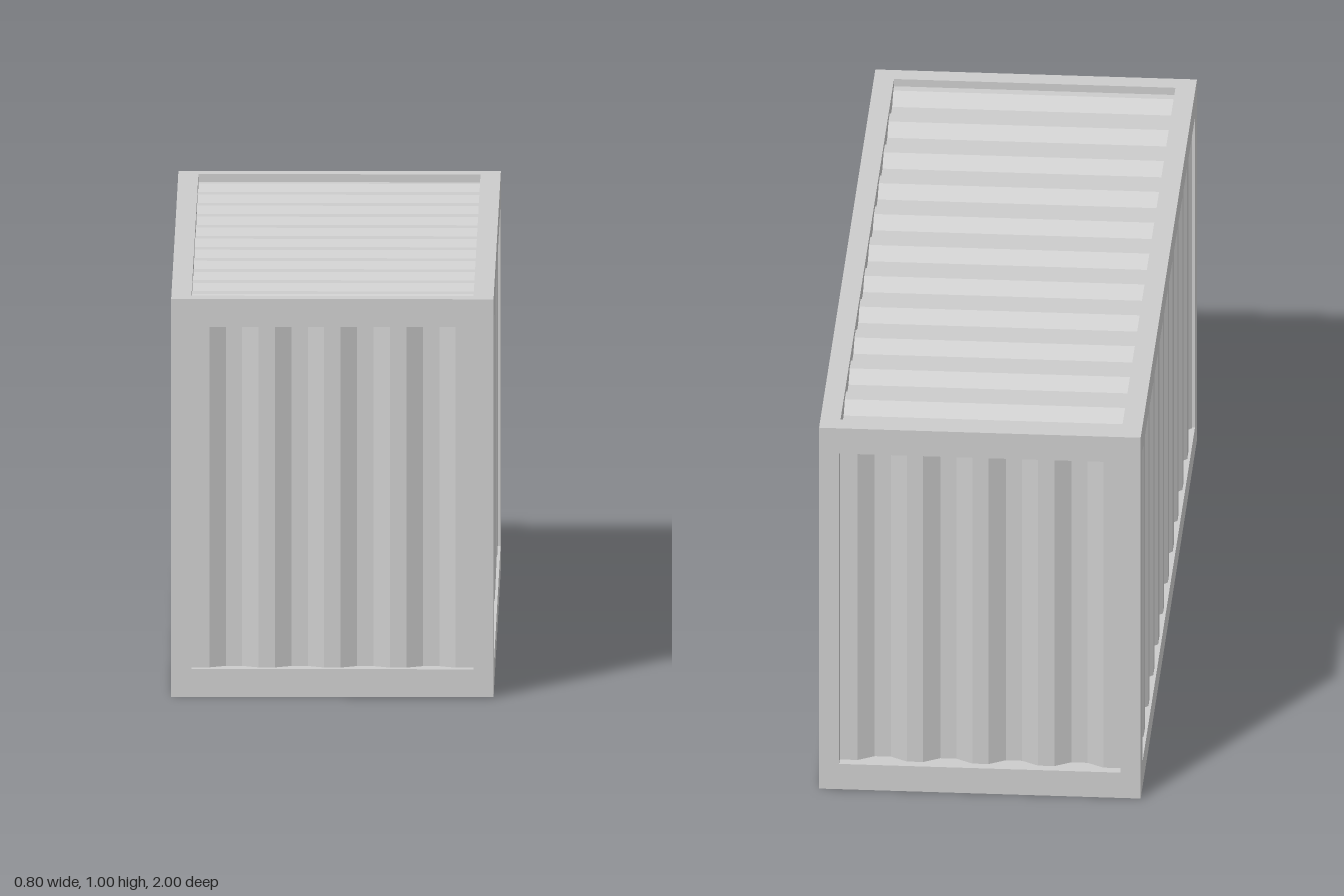
import * as THREE from 'three';

const W = 0.8, H = 1, L = 2;      // overall size
const POST_X = 0.05, POST_Z = 0.07, RAIL_H = 0.07, RAIL_T = 0.05;
const material = new THREE.MeshStandardMaterial({ color: 0xcccccc });

function add(parent, name, geometry, x = 0, y = 0, z = 0) {
  const mesh = new THREE.Mesh(geometry, material);
  mesh.name = name;
  mesh.position.set(x, y, z);
  parent.add(mesh);
  return mesh;
}

// Corrugated slab: grooves run along z and repeat along x, outer face at y = 0.
function corrugated(halfWidth, grooves, pitch, depth, length) {
  const start = -(grooves - 0.25) * pitch / 2;
  const back = -depth - 0.01;
  const shape = new THREE.Shape();
  shape.moveTo(-halfWidth, back);
  shape.lineTo(halfWidth, back);
  shape.lineTo(halfWidth, 0);
  for (let i = grooves - 1; i >= 0; i--) {
    const u = start + i * pitch;
    shape.lineTo(u + pitch * 0.75, 0);
    shape.lineTo(u + pitch * 0.5, -depth);
    shape.lineTo(u + pitch * 0.25, -depth);
    shape.lineTo(u, 0);
  }
  shape.lineTo(-halfWidth, 0);
  return new THREE.ExtrudeGeometry(shape, { depth: length, bevelEnabled: false })
    .translate(0, 0, -length / 2);
}

export function createModel() {
  const model = new THREE.Group();
  model.name = 'cargoContainer';

  // Frame: corner posts, long rails and end rails
  const frame = new THREE.Group();
  frame.name = 'frame';
  model.add(frame);
  const post = new THREE.BoxGeometry(POST_X, H - 2 * RAIL_H, POST_Z);
  const sideRail = new THREE.BoxGeometry(RAIL_T, RAIL_H, L);
  const endRail = new THREE.BoxGeometry(W - 2 * RAIL_T, RAIL_H, RAIL_T);
  for (const s of [-1, 1]) {
    for (const t of [-1, 1]) {
      add(frame, 'cornerPost', post, s * (W - POST_X) / 2, H / 2, t * (L - POST_Z) / 2);
      const y = t > 0 ? H - RAIL_H / 2 : RAIL_H / 2;
      const level = t > 0 ? 'top' : 'bottom';
      add(frame, level + 'SideRail', sideRail, s * (W - RAIL_T) / 2, y, 0);
      add(frame, level + 'EndRail', endRail, 0, y, s * (L - RAIL_T) / 2);
    }
  }

  // Walls: corrugation turned upright, one per side and end
  const wallHeight = H - 0.1;
  const sideWall = corrugated(0.935, 11, 0.1723, 0.043, wallHeight).rotateX(Math.PI / 2);
  const endWall = corrugated(0.355, 4, 0.163, 0.024, wallHeight).rotateX(Math.PI / 2);
  for (const s of [-1, 1]) {
    add(model, s > 0 ? 'leftWall' : 'rightWall', sideWall, s * (W / 2 - 0.007), H / 2, 0)
      .rotation.y = s * Math.PI / 2;
    add(model, s > 0 ? 'frontWall' : 'backWall', endWall, 0, H / 2, s * (L / 2 - 0.025))
      .rotation.y = s > 0 ? 0 : Math.PI;
  }

  // Roof: grooves run across the width
  const roof = corrugated(0.955, 11, 0.1723, 0.024, W - 2 * RAIL_T + 0.01).rotateY(Math.PI / 2);
  add(model, 'roof', roof, 0, H - 0.02, 0);

  // Floor, recessed between the bottom rails
  add(model, 'floor', new THREE.BoxGeometry(W - 2 * RAIL_T + 0.01, 0.03, L - 2 * RAIL_T + 0.01), 0, 0.045, 0);

  return model;
}
